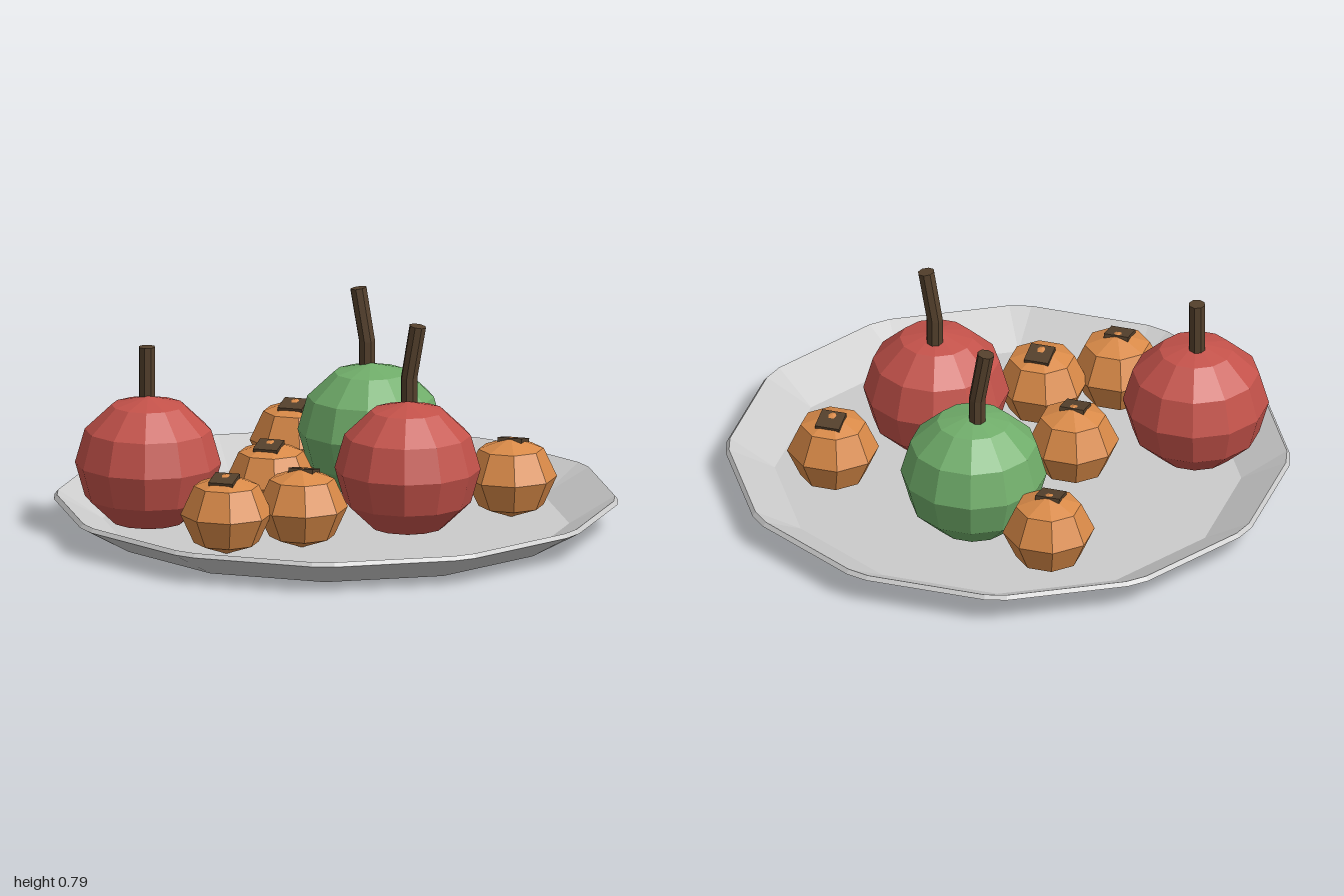
import * as THREE from 'three';

const paint = (name, color) => {
  const m = new THREE.MeshStandardMaterial({ color, flatShading: true });
  m.name = name;
  return m;
};

function addMesh(parent, name, geometry, material, x = 0, y = 0, z = 0) {
  const mesh = new THREE.Mesh(geometry, material);
  mesh.name = name;
  mesh.position.set(x, y, z);
  parent.add(mesh);
  return mesh;
}

// Twelve-sided dish: each ring is [radius, height, half-angle of the cut corner]
function dishGeometry() {
  const cut = THREE.MathUtils.degToRad(2.3);
  const rings = [
    [0, 0, 0], [0.849, 0, 0], [1.026, 0.1, cut],
    [1.014, 0.115, cut], [0.849, 0.02, 0], [0, 0.02, 0],
  ];
  const n = 24, positions = [], index = [];
  for (const [r, y, half] of rings) {
    for (let i = 0; i < n; i++) {
      const a = (Math.floor(i / 2) + 0.5) * Math.PI / 6 + (i % 2 ? half : -half);
      positions.push(r * Math.sin(a), y, r * Math.cos(a));
    }
  }
  for (let k = 0; k < rings.length - 1; k++) {
    for (let i = 0; i < n; i++) {
      const j = (i + 1) % n;
      const a = k * n + i, b = k * n + j, c = b + n, d = a + n;
      index.push(a, b, c, a, c, d);
    }
  }
  const g = new THREE.BufferGeometry();
  g.setAttribute('position', new THREE.Float32BufferAttribute(positions, 3));
  g.setIndex(index);
  g.computeVertexNormals();
  return g;
}

// Faceted ball with flat sides facing the axes
function ballGeometry(radius, halfHeight, sides, rows) {
  const g = new THREE.SphereGeometry(1, sides, rows);
  g.rotateY(Math.PI / sides);
  g.scale(radius, halfHeight, radius);
  return g;
}

// Stem whose upper half leans sideways
function stemGeometry(top, lean) {
  const base = 0.47, mid = 0.59;
  const g = new THREE.CylinderGeometry(0.031, 0.031, 2, 8, 2);
  const p = g.attributes.position;
  for (let i = 0; i < p.count; i++) {
    const level = Math.round(p.getY(i));
    p.setY(i, level < 0 ? base : level > 0 ? top : mid);
    if (level > 0) {
      p.setY(i, top + (lean ? -0.15 * lean * p.getX(i) / 0.031 : 0));
      p.setX(i, p.getX(i) + lean);
    }
  }
  g.computeVertexNormals();
  return g;
}

export function createModel() {
  const model = new THREE.Group();
  model.name = 'fruitPlate';
  const grey = paint('plateGrey', 0xcbcbcb);
  const red = paint('appleRed', 0xc4524a);
  const green = paint('appleGreen', 0x70ad6a);
  const orange = paint('fruitOrange', 0xd98a48);
  const brown = paint('stemBrown', 0x54402c);

  addMesh(model, 'plate', dishGeometry(), grey);

  // Large fruit: centre, colour, stem position, stem top and lean
  const apples = [
    ['leftRedApple', red, 0.305, 0.1, 0.295, 0.05, 0.785, 0.033],
    ['rightRedApple', red, -0.62, 0.305, -0.632, 0.28, 0.69, 0],
    ['greenApple', green, 0, -0.415, -0.02, -0.435, 0.785, -0.033],
  ];
  const appleShape = ballGeometry(0.266, 0.25, 12, 6);
  for (const [name, skin, x, z, sx, sz, top, lean] of apples) {
    const apple = new THREE.Group();
    apple.name = name;
    model.add(apple);
    addMesh(apple, 'appleBody', appleShape, skin, x, 0.263, z);
    addMesh(apple, 'appleStem', stemGeometry(top, lean), brown, sx, 0, sz);
  }

  // Small fruit: centre and the side its cap sits on
  const smallFruits = [
    [-0.335, -0.57, 1], [0.585, -0.26, -1], [-0.232, 0.05, 1],
    [0, 0.41, -1], [-0.232, 0.585, 1],
  ];
  const fruitShape = ballGeometry(0.168, 0.15, 8, 4);
  const capShape = new THREE.BoxGeometry(0.092, 0.04, 0.092);
  for (const [x, z, side] of smallFruits) {
    const fruit = new THREE.Group();
    fruit.name = 'smallFruit';
    fruit.position.set(x, 0, z);
    model.add(fruit);
    addMesh(fruit, 'smallFruitBody', fruitShape, orange, 0, 0.167, 0);
    const cap = addMesh(fruit, 'smallFruitCap', capShape, brown, 0, 0.287, side * 0.025);
    cap.rotation.x = side * 0.2;
  }

  return model;
}
